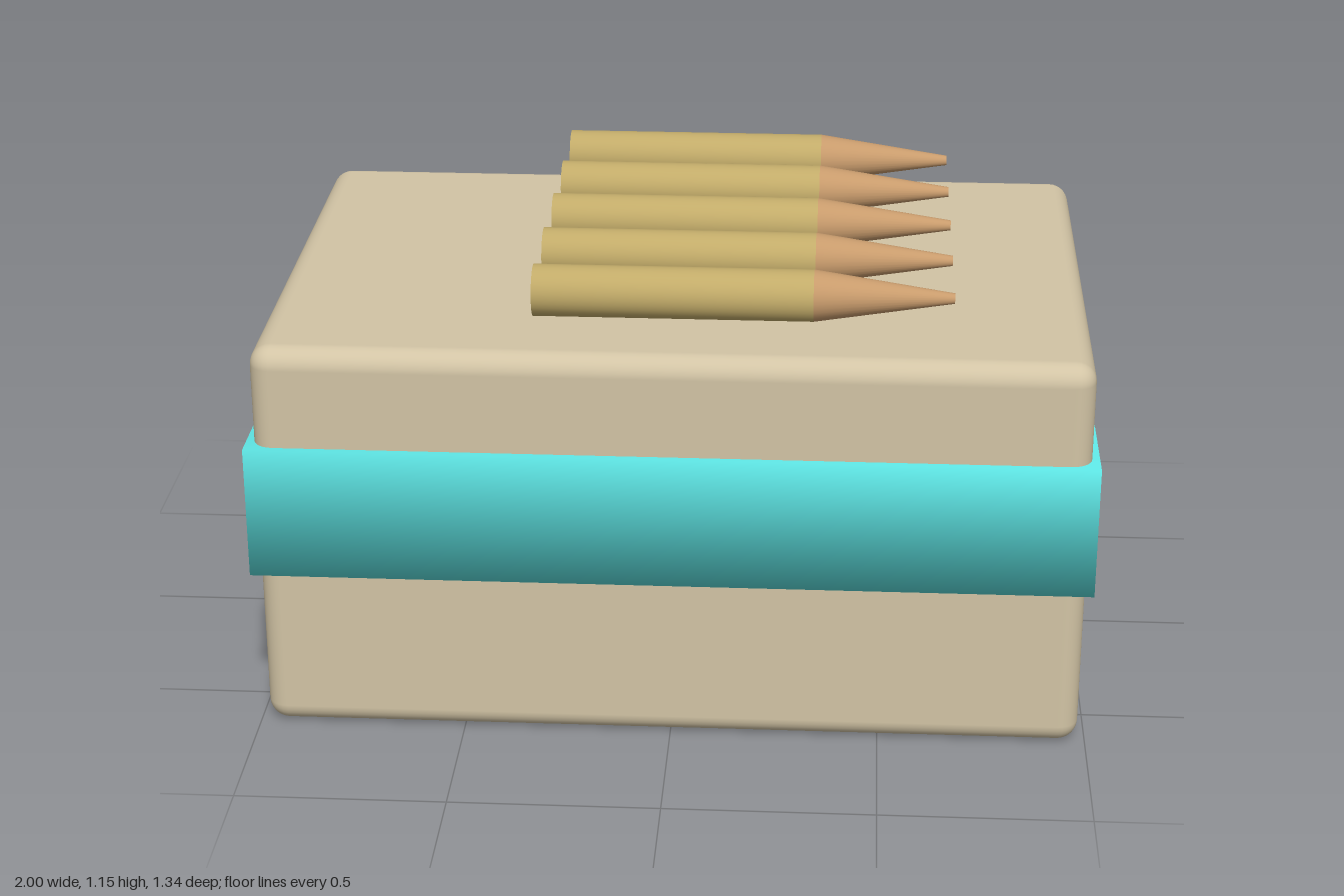
import * as THREE from 'three';
import { mergeVertices } from 'three/addons/utils/BufferGeometryUtils.js';
import { RoundedBoxGeometry } from 'three/addons/geometries/RoundedBoxGeometry.js';

// Weld the corners so the shading runs smoothly over every edge.
function weld(geometry) {
  geometry.deleteAttribute('uv');
  geometry.deleteAttribute('normal');
  const welded = mergeVertices(geometry, 1e-4);
  welded.computeVertexNormals();
  return welded;
}

function material(name, color) {
  const m = new THREE.MeshStandardMaterial({ color });
  m.name = name;
  return m;
}

function part(name, geometry, mat, x, y, z) {
  const mesh = new THREE.Mesh(geometry, mat);
  mesh.name = name;
  mesh.position.set(x, y, z);
  return mesh;
}

export function createModel() {
  const model = new THREE.Group();
  model.name = 'ammoBox';

  const tan = material('tan card', 0xd2c4a5);
  const teal = material('turquoise', 0x5ce1e0);
  const brass = material('brass', 0xc2ab69);
  const copper = material('copper', 0xc89b6c);

  // Rounded box and the band around it
  model.add(part('box', new RoundedBoxGeometry(1.964, 0.982, 1.31, 4, 0.05), tan, 0, 0.491, 0));
  model.add(part('band', weld(new THREE.BoxGeometry(2, 0.327, 1.342)), teal, 0, 0.574, 0));

  // Five cartridges lying in a row above the lid, tips toward +x
  const caseGeometry = weld(new THREE.CylinderGeometry(0.061, 0.061, 0.655, 32)).rotateZ(-Math.PI / 2);
  const tipGeometry = weld(new THREE.CylinderGeometry(0.0123, 0.061, 0.327, 32)).rotateZ(-Math.PI / 2);
  for (let i = -2; i <= 2; i++) {
    const cartridge = new THREE.Group();
    cartridge.name = 'cartridge';
    cartridge.position.set(0, 1.085, i * 0.2455);
    cartridge.add(part('case', caseGeometry, brass, 0, 0, 0));
    cartridge.add(part('bulletTip', tipGeometry, copper, 0.491, 0, 0));
    model.add(cartridge);
  }
  return model;
}
